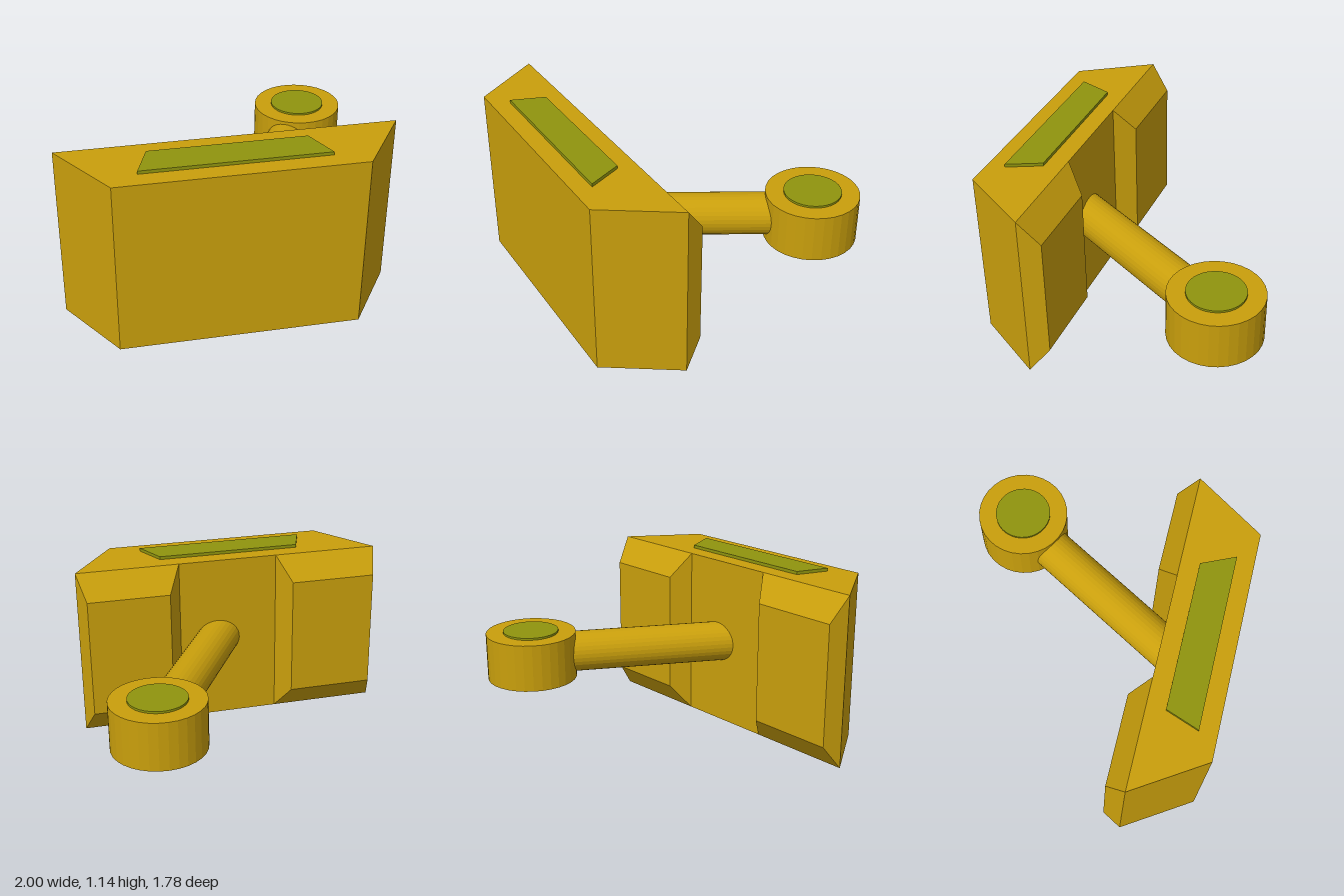
import * as THREE from 'three';

const yellow = new THREE.MeshStandardMaterial({ color: 0xc99f0c, flatShading: true });
const green = new THREE.MeshStandardMaterial({ color: 0x90940e, flatShading: true });

function add(group, name, geometry, material) {
  const mesh = new THREE.Mesh(geometry, material);
  mesh.name = name;
  group.add(mesh);
  return mesh;
}

// Upright prism from a plan outline of [x, z] corners
function prism(outline, bottom, top) {
  const shape = new THREE.Shape(outline.map(([x, z]) => new THREE.Vector2(x, z)));
  const geometry = new THREE.ExtrudeGeometry(shape, { depth: top - bottom, bevelEnabled: false });
  return geometry.rotateX(Math.PI / 2).translate(0, top, 0);
}

// Block tapering backwards; each end is { x: [min, max], y: [min, max], z }
function taperedBlock(front, back) {
  const geometry = new THREE.BoxGeometry(1, 1, 1);
  const p = geometry.attributes.position;
  for (let i = 0; i < p.count; i++) {
    const end = p.getZ(i) > 0 ? front : back;
    p.setXYZ(i, end.x[p.getX(i) > 0 ? 1 : 0], end.y[p.getY(i) > 0 ? 1 : 0], end.z);
  }
  geometry.computeVertexNormals();
  return geometry;
}

export function createModel() {
  const model = new THREE.Group();
  model.name = 'hingedBlock';

  // Main body, narrowing towards the front
  const bodyOutline = [[-0.72, 0.89], [0.715, 0.89], [1, 0.46], [-1, 0.46]];
  add(model, 'body', prism(bodyOutline, 0.02, 1.12), yellow);

  // Bevelled pads on the back, with a channel between them
  const pads = [
    ['rightPad', [-1, -0.315], [-0.96, -0.4]],
    ['leftPad', [0.335, 1], [0.42, 0.95]],
  ];
  for (const [name, base, tip] of pads) {
    add(model, name, taperedBlock(
      { x: base, y: [0.02, 1.12], z: 0.46 },
      { x: tip, y: [0.18, 0.96], z: 0.34 }), yellow);
  }

  // Thin raised plates above and below the body
  const plateOutline = [[-0.565, 0.78], [0.53, 0.78], [0.435, 0.575], [-0.49, 0.575]];
  add(model, 'topPlate', prism(plateOutline, 1.1, 1.14), green);
  add(model, 'bottomPlate', prism(plateOutline, 0, 0.04), green);

  // Slanted round arm from the channel to the hub
  const start = new THREE.Vector3(0.03, 0.57, 0.555);
  const hubCentre = new THREE.Vector3(0.697, 0.57, -0.605);
  const along = hubCentre.clone().sub(start);
  const arm = add(model, 'arm', new THREE.CylinderGeometry(0.13, 0.13, along.length(), 32), yellow);
  arm.position.copy(start).add(hubCentre).multiplyScalar(0.5);
  arm.quaternion.setFromUnitVectors(new THREE.Vector3(0, 1, 0), along.normalize());

  // Hub with a pin showing at both ends
  add(model, 'hub', new THREE.CylinderGeometry(0.285, 0.285, 0.3, 32), yellow).position.copy(hubCentre);
  add(model, 'hubPin', new THREE.CylinderGeometry(0.175, 0.175, 0.326, 32), green).position.copy(hubCentre);

  return model;
}
